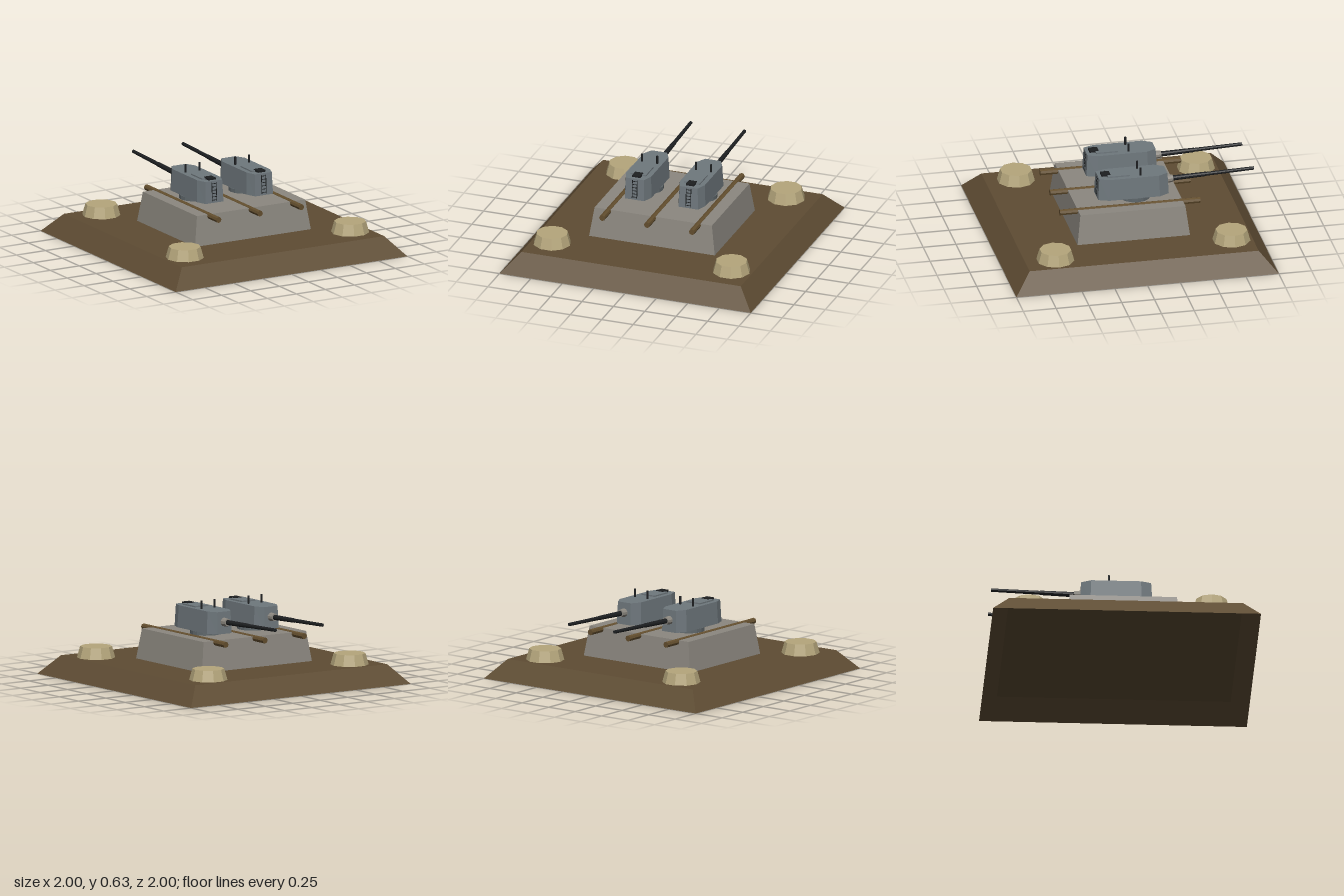
import * as THREE from 'three';

const flat = (name, color, side = THREE.FrontSide) => {
  const m = new THREE.MeshStandardMaterial({ color, side });
  m.name = name;
  m.flatShading = true;
  return m;
};

// Moves the vertices above the middle towards the vertical axis
function taper(geo, midY, sx, sz) {
  const p = geo.attributes.position;
  for (let i = 0; i < p.count; i++) {
    if (p.getY(i) > midY) {
      p.setX(i, p.getX(i) * sx);
      p.setZ(i, p.getZ(i) * sz);
    }
  }
  geo.computeVertexNormals();
  return geo;
}

// Four sloping sides and a top, open underneath
function openFrustum(w, h, d, ratio) {
  const geo = new THREE.BoxGeometry(w, h, d);
  const index = [...geo.index.array];
  index.splice(18, 6); // the bottom face
  geo.setIndex(index);
  geo.clearGroups();
  return taper(geo, 0, ratio, ratio);
}

export function createModel() {
  const earth = flat('earth', 0x5e4c33, THREE.DoubleSide);
  const concrete = flat('concrete', 0x8c8880, THREE.DoubleSide);
  const sand = flat('sand', 0xb5a67c);
  const wood = flat('wood', 0x634e2e);
  const steel = flat('blue grey steel', 0x6f787d);
  const ringSteel = flat('dark grey steel', 0x5f676b);
  const black = flat('black metal', 0x1d1f21);

  const model = new THREE.Group();
  model.name = 'gunEmplacement';

  const add = (parent, name, geo, mat, x = 0, y = 0, z = 0) => {
    const mesh = new THREE.Mesh(geo, mat);
    mesh.name = name;
    mesh.position.set(x, y, z);
    parent.add(mesh);
    return mesh;
  };
  const box = (parent, name, w, h, d, mat, x, y, z) =>
    add(parent, name, new THREE.BoxGeometry(w, h, d), mat, x, y, z);

  // Hollow earth bank and concrete bunker
  add(model, 'earthBank', openFrustum(2, 0.144, 2, 0.873), earth, 0, 0.072, 0);
  add(model, 'bunker', openFrustum(1, 0.227, 0.857, 0.934), concrete, 0, 0.2575, 0);

  // Ten-sided sand mounds standing on the corners of the bank
  const moundGeo = new THREE.CylinderGeometry(0.119, 0.143, 0.085, 10).rotateY(Math.PI / 10);
  for (const [x, z] of [[-0.714, 0.643], [0.714, 0.643], [-0.643, -0.714], [0.643, -0.714]]) {
    add(model, 'sandMound', moundGeo, sand, x, 0.187, z);
  }

  // Timber beams laid across the roof
  for (const x of [-0.357, 0, 0.357]) {
    const beam = new THREE.CylinderGeometry(0.023, 0.023, 1.07, 8).rotateX(Math.PI / 2);
    add(model, 'timberBeam', beam, wood, x, 0.358, 0);
  }

  // Turret hull: an octagonal plan, slightly narrower at the roof
  const half = [[0.065, 0.27], [0.107, 0.195], [0.107, -0.19], [0.077, -0.27]];
  const plan = [...half, ...half.map(([x, y]) => [-x, y]).reverse()];
  const hullShape = new THREE.Shape(plan.map(([x, y]) => new THREE.Vector2(x, y)));
  const hullGeo = taper(
    new THREE.ExtrudeGeometry(hullShape, { depth: 0.167, bevelEnabled: false }).rotateX(-Math.PI / 2),
    0.08, 0.93, 0.965);

  function makeTurret(x) {
    const turret = new THREE.Group();
    turret.name = 'turret';
    turret.position.x = x;
    model.add(turret);

    add(turret, 'turretRing', new THREE.CylinderGeometry(0.117, 0.117, 0.03, 16), ringSteel, 0, 0.385, -0.067);
    add(turret, 'turretHull', hullGeo, steel, 0, 0.399, -0.043);

    // Roof panel, hatch and periscopes
    box(turret, 'roofPanel', 0.124, 0.01, 0.165, steel, 0, 0.571, 0.066);
    box(turret, 'hatch', 0.064, 0.014, 0.068, black, 0, 0.574, 0.158);
    for (const s of [-1, 1]) {
      add(turret, 'periscope', new THREE.CylinderGeometry(0.008, 0.008, 0.065, 8), black, s * 0.06, 0.594, -0.098);
    }

    // Ladder lying close against the rear plate
    const ladder = new THREE.Group();
    ladder.name = 'ladder';
    ladder.position.set(0, 0.482, 0.2215);
    ladder.rotation.x = -0.056;
    turret.add(ladder);
    for (const s of [-1, 1]) box(ladder, 'ladderRail', 0.005, 0.145, 0.005, black, s * 0.019, 0, 0);
    for (let i = 0; i < 6; i++) box(ladder, 'ladderRung', 0.038, 0.005, 0.005, black, 0, -0.062 + i * 0.025, 0);

    // Slightly raised gun, pointing to the back
    const gun = new THREE.Group();
    gun.name = 'gun';
    gun.position.set(0, 0.488, -0.3);
    gun.rotation.x = 0.036;
    turret.add(gun);
    const tube = (name, rTip, rRoot, from, to, sides, mat) => {
      const geo = new THREE.CylinderGeometry(rTip, rRoot, to - from, sides).rotateX(-Math.PI / 2);
      add(gun, name, geo, mat, 0, 0, -(from + to) / 2);
    };
    tube('mantlet', 0.028, 0.036, -0.02, 0.056, 10, concrete);
    tube('barrelSleeve', 0.017, 0.02, 0.04, 0.31, 10, black);
    tube('barrel', 0.013, 0.015, 0.3, 0.675, 10, black);
  }

  for (const x of [-0.214, 0.214]) makeTurret(x);

  return model;
}
